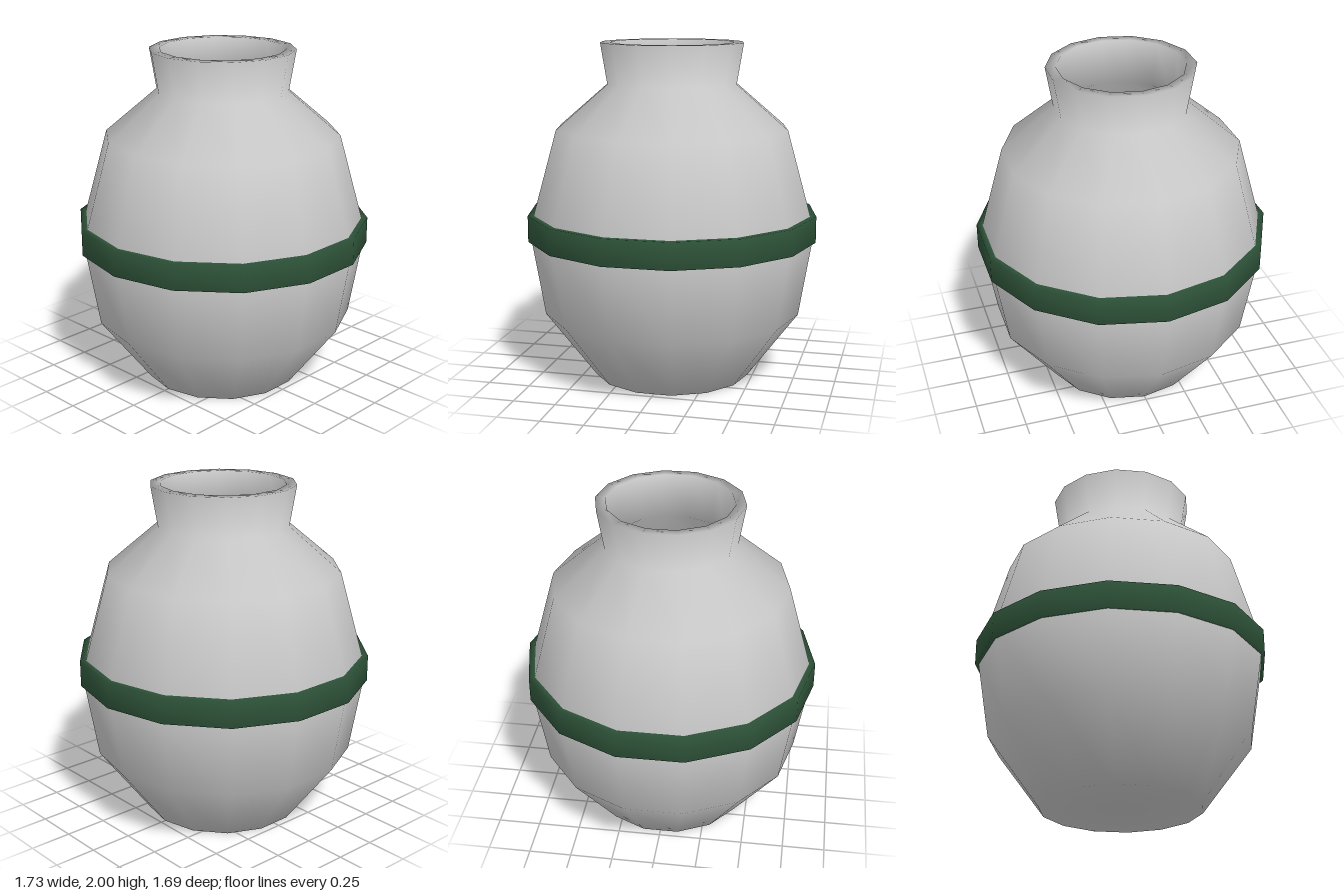
import * as THREE from 'three';

const SIDES = 14;

// Smooth-shaded 14-sided turned part, with a corner on each side (+x and -x)
function turned(name, profile, color) {
  const points = profile.map(([r, y]) => new THREE.Vector2(r, y));
  const geometry = new THREE.LatheGeometry(points, SIDES, Math.PI / 2);
  const mesh = new THREE.Mesh(geometry, new THREE.MeshStandardMaterial({ color }));
  mesh.name = name;
  return mesh;
}

export function createModel() {
  const group = new THREE.Group();
  group.name = 'vase';

  // Body: base, outer wall, flared neck, rim, then the inner wall down to the floor
  group.add(turned('body', [
    [0, 0], [0.47, 0], [0.77, 0.4], [0.855, 0.91], [0.69, 1.5], [0.385, 1.76],
    [0.425, 2],
    [0.365, 2], [0.33, 1.75], [0.63, 1.47], [0.79, 0.91], [0.71, 0.42], [0.44, 0.06], [0, 0.06],
  ], 0xcccccc));

  // Raised band around the widest part
  group.add(turned('band', [
    [0.825, 0.845], [0.865, 0.845], [0.865, 1], [0.825, 1],
  ], 0x2e5339));

  return group;
}
